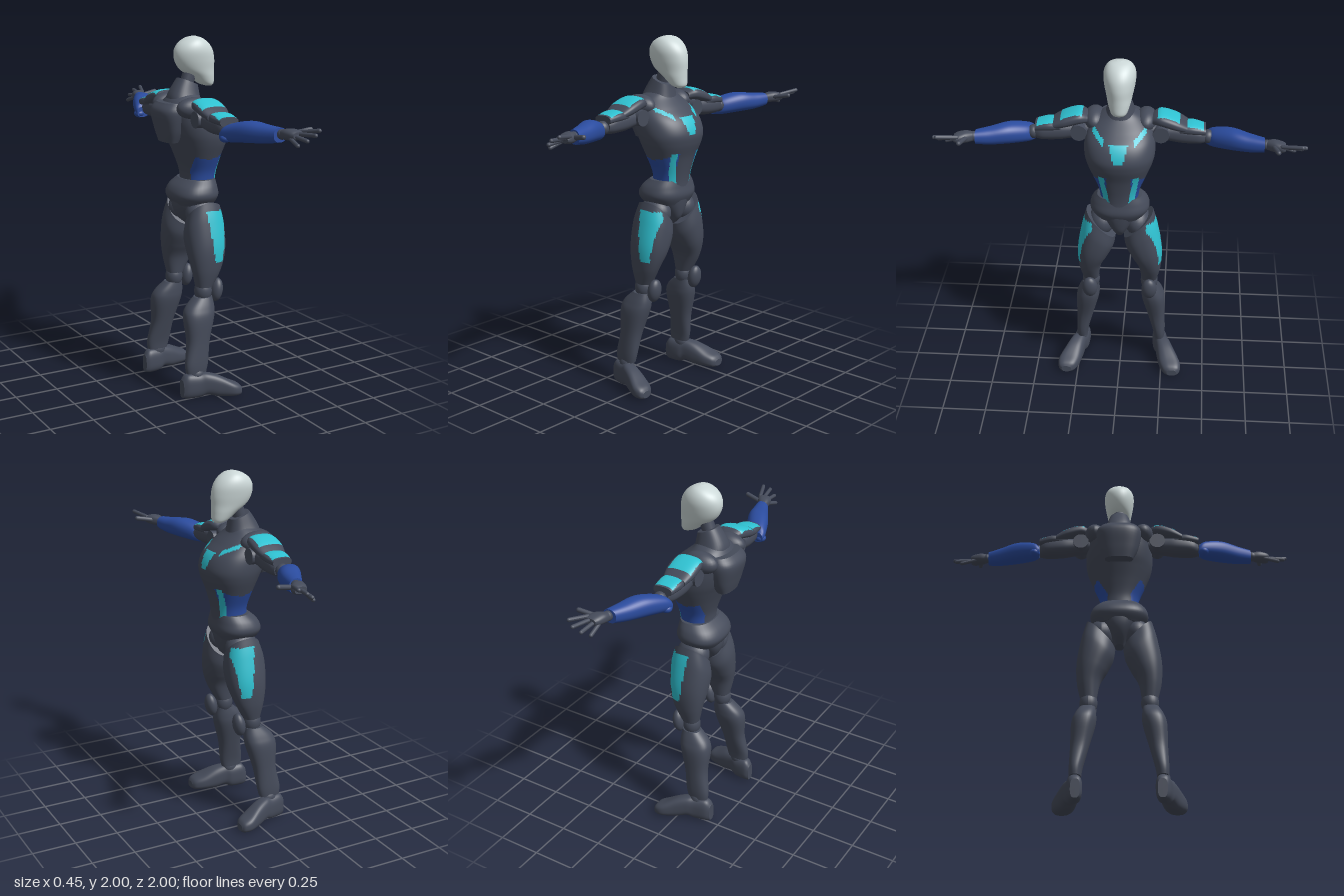
import * as THREE from 'three';

const mat = (name, color) => {
  const m = new THREE.MeshStandardMaterial({ color });
  m.name = name;
  return m;
};
const PALETTE = [
  mat('dark grey', 0x454b5a), mat('cyan', 0x2fc2d2),
  mat('blue', 0x2b4c9f), mat('pale grey', 0xccd8d8),
];
const [DARK, CYAN, BLUE, PALE] = [0, 1, 2, 3];

// Smooth curve through section values
function spline(rings, k, t) {
  const n = rings.length - 1;
  const p = (i) => rings[Math.min(n, Math.max(0, i))];
  return [0, 1, 2, 3, 4, 5, 6].map((c) => {
    const [a, b, d, e] = [k - 1, k, k + 1, k + 2].map((i) => p(i)[c] || 0);
    return b + 0.5 * t * (d - a + t * (2 * a - 5 * b + 4 * d - e + t * (3 * (b - d) + e - a)));
  });
}

// Closed loft along an axis. Section: [x, y, z, radius, radius, tilt, tilt].
// Radii: axis y -> (x, z); axis z -> (x, y); axis x -> (y, z).
// paint(x, y, z) picks a colour index for each face.
function loft(axis, rings, { p = 2, sides = 40, steps = 6, paint = () => DARK, floor = false } = {}) {
  const [U, V, W] = { x: [1, 2, 0], y: [2, 0, 1], z: [0, 1, 2] }[axis];
  const rows = (rings.length - 1) * steps + 1;
  const pos = [];
  const bend = (v) => Math.sign(v) * Math.abs(v) ** (2 / p);
  const add = (q) => pos.push(q[0], floor ? Math.max(0, q[1]) : q[1], q[2]);
  for (let i = 0; i < rows; i++) {
    const k = Math.min(rings.length - 2, Math.floor(i / steps));
    const s = spline(rings, k, i / steps - k);
    const ru = axis === 'y' ? s[4] : s[3], rv = axis === 'y' ? s[3] : s[4];
    for (let j = 0; j < sides; j++) {
      const t = (j / sides) * Math.PI * 2;
      const du = ru * bend(Math.cos(t)), dv = rv * bend(Math.sin(t));
      const q = s.slice(0, 3);
      q[U] += du; q[V] += dv; q[W] += s[5] * du + s[6] * dv;
      add(q);
    }
  }
  const faces = PALETTE.map(() => []);
  const at = (i, c) => pos[i * 3 + c];
  for (let i = 0; i < rows - 1; i++) for (let j = 0; j < sides; j++) {
    const a = i * sides + j, b = i * sides + (j + 1) % sides;
    const c = a + sides, d = b + sides;
    const mid = [0, 1, 2].map((n) => (at(a, n) + at(b, n) + at(c, n) + at(d, n)) / 4);
    faces[paint(...mid)].push(a, b, c, b, d, c);
  }
  // End caps with their own vertices, for crisp rims
  for (const [row, ring, top] of [[0, rings[0], false], [rows - 1, rings.at(-1), true]]) {
    const start = pos.length / 3;
    for (let j = 0; j < sides; j++) add([0, 1, 2].map((n) => at(row * sides + j, n)));
    add(ring);
    const own = faces[paint(...ring)];
    for (let j = 0; j < sides; j++) {
      const a = start + j, b = start + (j + 1) % sides;
      own.push(start + sides, top ? a : b, top ? b : a);
    }
  }
  const g = new THREE.BufferGeometry();
  g.setAttribute('position', new THREE.Float32BufferAttribute(pos, 3));
  let start = 0;
  faces.forEach((f, m) => {
    if (f.length) g.addGroup(start, f.length, m);
    start += f.length;
  });
  g.setIndex(faces.flat());
  g.computeVertexNormals();
  return g;
}

const ball = (x, y, z, rx, ry, rz) =>
  new THREE.SphereGeometry(1, 28, 18).scale(rx, ry, rz).translate(x, y, z);

// Capsule between two points
function rod(a, b, r) {
  const A = new THREE.Vector3(...a), B = new THREE.Vector3(...b), d = B.clone().sub(A);
  const q = new THREE.Quaternion().setFromUnitVectors(new THREE.Vector3(0, 1, 0), d.clone().normalize());
  const c = A.add(B).multiplyScalar(0.5);
  return new THREE.CapsuleGeometry(r, d.length(), 5, 12).applyQuaternion(q).translate(c.x, c.y, c.z);
}

function mirrorZ(g) {
  const m = g.clone().scale(1, 1, -1), ix = m.index.array;
  for (let i = 0; i < ix.length; i += 3) [ix[i + 1], ix[i + 2]] = [ix[i + 2], ix[i + 1]];
  m.computeVertexNormals();
  return m;
}

export function createModel() {
  const model = new THREE.Group();
  const put = (name, g, material = PALETTE) => {
    const m = new THREE.Mesh(g, material);
    m.name = name;
    model.add(m);
  };
  const pair = (name, g, material) => {
    put(name + 'A', g, material);
    put(name + 'B', mirrorZ(g), material);
  };
  const dark = PALETTE[DARK];

  // Head, neck and collar
  put('head', loft('y', [
    [0.1, 1.725, 0, 0.02, 0.03], [0.085, 1.74, 0, 0.047, 0.045], [0.06, 1.78, 0, 0.073, 0.06],
    [0.03, 1.82, 0, 0.103, 0.071], [0.015, 1.87, 0, 0.118, 0.082], [0.008, 1.92, 0, 0.114, 0.087],
    [0.006, 1.96, 0, 0.09, 0.078], [0.008, 1.988, 0, 0.05, 0.055], [0.01, 2, 0, 0.012, 0.015],
  ], { paint: () => PALE }));
  put('neck', rod([-0.05, 1.7, 0], [-0.005, 1.83, 0], 0.038), dark);
  put('collar', loft('y', [
    [-0.05, 1.62, 0, 0.1, 0.12], [-0.05, 1.67, 0, 0.09, 0.085, 0, -0.2],
    [-0.03, 1.755, 0, 0.055, 0.058, 0, -0.4],
  ], { p: 2.4 }));

  // Torso with chest, waist and flank panels
  const torsoPaint = (x, y, z) => {
    const a = Math.abs(z);
    if (x > 0.03 && y > 1.475 && y < 1.57 && a < 0.026 + (y - 1.475) * 0.26) return CYAN;
    if (x > 0.03 && a > 0.08 && a < 0.145 && Math.abs(y - 1.59 - (a - 0.11) * 0.75) < 0.015) return CYAN;
    if (x > 0.02 && y < 1.37 && Math.abs(a - 0.066 - (y - 1.18) * 0.16) < 0.016) return CYAN;
    const edge = 1.335 + 2.5 * (x - 0.03) ** 2;
    return a > 0.066 && x > -0.05 && y < edge ? BLUE : DARK;
  };
  put('torso', loft('y', [
    [0.032, 1.15, 0, 0.092, 0.105], [0.033, 1.2, 0, 0.093, 0.105], [0.035, 1.26, 0, 0.1, 0.115],
    [0.032, 1.34, 0, 0.122, 0.148], [0.03, 1.42, 0, 0.152, 0.18], [0.02, 1.48, 0, 0.168, 0.193],
    [-0.005, 1.55, 0, 0.163, 0.19], [-0.04, 1.61, 0, 0.135, 0.168], [-0.055, 1.66, 0, 0.095, 0.12],
    [-0.05, 1.69, 0, 0.07, 0.075],
  ], { p: 2.2, sides: 120, steps: 10, paint: torsoPaint }));
  put('upperBack', loft('y', [
    [-0.15, 1.43, 0, 0.04, 0.08], [-0.14, 1.5, 0, 0.07, 0.11],
    [-0.13, 1.6, 0, 0.1, 0.13], [-0.12, 1.648, 0, 0.075, 0.11],
  ], { p: 2.6 }));
  pair('trapezius', ball(-0.07, 1.625, 0.14, 0.1, 0.06, 0.06), dark);

  // Hips
  put('belt', loft('y', [
    [0, 1.07, 0, 0.11, 0.13], [-0.002, 1.12, 0, 0.133, 0.165],
    [0.005, 1.17, 0, 0.12, 0.155], [0.025, 1.212, 0, 0.092, 0.125],
  ], { p: 2.4 }));
  put('pelvis', loft('y', [
    [0.01, 0.95, 0, 0.045, 0.025], [0.005, 0.99, 0, 0.09, 0.045],
    [0, 1.05, 0, 0.115, 0.085], [0.003, 1.13, 0, 0.125, 0.13],
  ], { p: 2.3 }));
  pair('hipJoint', ball(0.005, 1.025, 0.1, 0.095, 0.085, 0.075), dark);

  // Legs
  pair('thigh', loft('y', [
    [-0.02, 0.62, 0.17, 0.048, 0.045], [-0.005, 0.72, 0.172, 0.085, 0.064],
    [0.003, 0.82, 0.155, 0.11, 0.085, 0.3], [0.005, 0.93, 0.125, 0.116, 0.09, 0.7],
    [0.01, 1.015, 0.105, 0.098, 0.082, 1],
  ], {
    p: 2.3, sides: 80, steps: 10,
    paint: (x, y, z) => (z > 0.15 && y > 0.77 && y < 1.05
      && x > 0.015 - (y - 0.77) * 0.13 && x < 0.07 + (y - 0.77) * 0.17 ? CYAN : DARK),
  }));
  pair('kneeJoint', ball(-0.025, 0.595, 0.17, 0.05, 0.065, 0.05), dark);
  pair('kneeCap', ball(0, 0, 0, 0.035, 0.068, 0.044).rotateZ(-0.15).translate(0.06, 0.59, 0.172), dark);
  pair('shin', loft('y', [
    [-0.105, 0.145, 0.233, 0.062, 0.032], [-0.1, 0.2, 0.23, 0.07, 0.037],
    [-0.082, 0.32, 0.213, 0.068, 0.05], [-0.068, 0.45, 0.195, 0.09, 0.066],
    [-0.055, 0.51, 0.185, 0.085, 0.06], [-0.03, 0.565, 0.175, 0.052, 0.045],
  ], { p: 2.4 }));
  pair('ankle', ball(-0.1, 0.13, 0.238, 0.045, 0.045, 0.035), dark);
  pair('foot', loft('x', [
    [-0.193, 0.058, 0.228, 0.052, 0.026], [-0.165, 0.07, 0.232, 0.07, 0.04],
    [-0.1, 0.07, 0.243, 0.07, 0.046], [-0.06, 0.078, 0.258, 0.064, 0.047],
    [0, 0.063, 0.278, 0.063, 0.055], [0.07, 0.044, 0.303, 0.046, 0.063],
    [0.115, 0.034, 0.313, 0.034, 0.05], [0.132, 0.028, 0.316, 0.02, 0.028],
  ], { p: 2.7, floor: true }));

  // Shoulders and upper arms
  pair('shoulderJoint', new THREE.CylinderGeometry(0.045, 0.045, 0.14, 28)
    .rotateZ(Math.PI / 2).translate(-0.04, 1.575, 0.222), dark);
  pair('upperArm', loft('z', [
    [-0.04, 1.575, 0.15, 0.05, 0.045], [-0.04, 1.57, 0.25, 0.055, 0.045],
    [-0.04, 1.565, 0.33, 0.062, 0.052], [-0.035, 1.56, 0.42, 0.058, 0.048],
    [-0.03, 1.555, 0.46, 0.04, 0.036],
  ], { p: 2.4 }));
  pair('shoulderPad', loft('z', [
    [-0.045, 1.645, 0.175, 0.055, 0.024], [-0.045, 1.652, 0.22, 0.08, 0.036],
    [-0.045, 1.63, 0.3, 0.084, 0.036], [-0.045, 1.605, 0.365, 0.068, 0.024],
  ], {
    p: 2.5, steps: 10, sides: 64,
    paint: (x, y, z) => (z > 0.2 && z < 0.325 && y > 1.657 - (z - 0.22) * 0.3 && Math.abs(x + 0.05) < 0.07 ? CYAN : DARK),
  }));
  pair('armPad', loft('z', [
    [-0.04, 1.6, 0.32, 0.06, 0.028], [-0.04, 1.6, 0.39, 0.068, 0.03], [-0.038, 1.59, 0.462, 0.056, 0.024],
  ], {
    p: 2.5, steps: 14, sides: 64,
    paint: (x, y, z) => (z > 0.345 && z < 0.45 && y > 1.6 && Math.abs(x + 0.04) < 0.055 ? CYAN : DARK),
  }));
  pair('elbow', ball(-0.03, 1.55, 0.475, 0.038, 0.038, 0.035), dark);

  // Forearms with elbow guards
  pair('forearm', loft('z', [
    [-0.068, 1.525, 0.465, 0.036, 0.03], [-0.045, 1.54, 0.5, 0.058, 0.048],
    [0.002, 1.557, 0.6, 0.066, 0.057], [0.042, 1.556, 0.7, 0.053, 0.048], [0.07, 1.56, 0.775, 0.039, 0.038],
  ], { p: 2.3, paint: () => BLUE }));
  pair('elbowGuard', ball(-0.078, 1.515, 0.49, 0.032, 0.024, 0.03), PALETTE[BLUE]);

  // Hands
  pair('wrist', ball(0.075, 1.565, 0.785, 0.027, 0.027, 0.03), dark);
  pair('palm', loft('z', [
    [0.076, 1.565, 0.785, 0.024, 0.024], [0.092, 1.57, 0.825, 0.04, 0.03],
    [0.104, 1.57, 0.865, 0.042, 0.026], [0.108, 1.57, 0.885, 0.034, 0.018],
  ], { p: 2.4 }));
  const fingers = [
    [[0.135, 1.585, 0.865], [0.172, 1.602, 0.968]],
    [[0.115, 1.575, 0.87], [0.136, 1.583, 0.988]],
    [[0.095, 1.565, 0.87], [0.098, 1.556, 0.972]],
    [[0.075, 1.555, 0.855], [0.068, 1.53, 0.935]],
    [[0.105, 1.57, 0.82], [0.208, 1.588, 0.842]],
  ];
  fingers.forEach(([a, b], i) => pair(i < 4 ? 'finger' + (i + 1) : 'thumb', rod(a, b, i < 4 ? 0.011 : 0.013), dark));

  return model;
}
